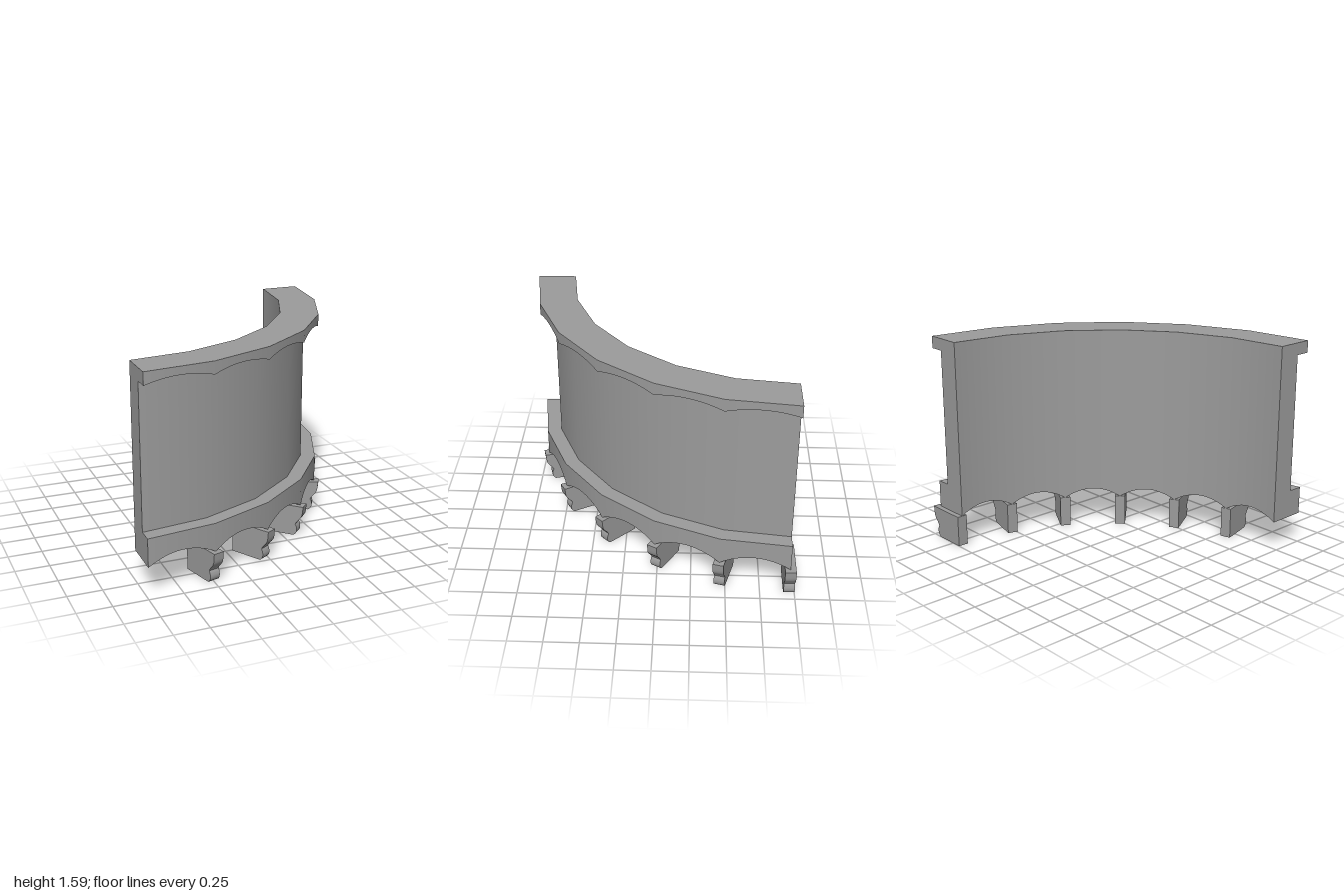
import * as THREE from 'three';
import { mergeGeometries, toCreasedNormals } from 'three/addons/utils/BufferGeometryUtils.js';

const SEGMENTS = 6;
const STEP = Math.PI / 2 / SEGMENTS;
const DIVISIONS = 12;
const CENTRE = new THREE.Vector3(-0.998, 0, -0.96);
const R_IN = 1.668, R_WALL = 1.847, R_OUT = 1.959;

// Wall cross-section as [radius, height, scallop rise], clockwise from the inner top
const PROFILE = [
  [R_IN, 1.589, 0], [R_OUT, 1.589, 0], [R_OUT, 1.497, 0.034], [R_WALL, 1.497, 0.034],
  [R_WALL, 0.446, 0], [R_OUT, 0.446, 0], [R_OUT, 0.236, 0.073], [R_IN, 0.236, 0.073],
];

const direction = (a) => new THREE.Vector3(Math.sin(a), 0, Math.cos(a));

// Surface swept by one edge of the profile along one straight segment
function strip(segment, p, q) {
  const d0 = direction(segment * STEP), d1 = direction((segment + 1) * STEP);
  const positions = [], normals = [], index = [];
  const side = Math.sign(p[1] - q[1]); // +1 faces outwards, -1 faces inwards
  for (let i = 0; i <= DIVISIONS; i++) {
    const t = i / DIVISIONS;
    const d = d0.clone().lerp(d1, t);
    const n = d.clone().normalize().multiplyScalar(side);
    const arch = 4 * t * (1 - t);
    for (const [r, y, rise] of [p, q]) {
      positions.push(CENTRE.x + r * d.x, y + rise * arch, CENTRE.z + r * d.z);
      normals.push(n.x, 0, n.z);
    }
    if (i < DIVISIONS) {
      const a = i * 2;
      index.push(a, a + 1, a + 2, a + 1, a + 3, a + 2);
    }
  }
  const g = new THREE.BufferGeometry();
  g.setAttribute('position', new THREE.Float32BufferAttribute(positions, 3));
  g.setAttribute('normal', new THREE.Float32BufferAttribute(normals, 3));
  g.setIndex(index);
  // Upright faces keep rounded normals; ledges and scallops use their own
  if (p[0] !== q[0]) g.computeVertexNormals();
  return g;
}

// Flat end of the wall
function endFace(sign, turn) {
  const shape = new THREE.Shape(PROFILE.map(([r, y]) => new THREE.Vector2(sign * r, y)));
  const g = new THREE.ShapeGeometry(shape);
  g.rotateY(turn).translate(CENTRE.x, 0, CENTRE.z);
  return g;
}

// Curved corbel below each joint
function bracketGeometry() {
  const s = new THREE.Shape();
  s.moveTo(R_IN, 0);
  s.lineTo(1.92, 0);
  s.quadraticCurveTo(1.946, 0.015, 1.947, 0.045);
  s.quadraticCurveTo(1.947, 0.07, 1.934, 0.09);
  s.bezierCurveTo(1.945, 0.125, 1.988, 0.135, 1.99, 0.19);
  s.lineTo(1.994, 0.237);
  s.lineTo(R_IN, 0.237);
  s.closePath();
  const g = new THREE.ExtrudeGeometry(s, { depth: 0.08, bevelEnabled: false, curveSegments: 6 });
  g.translate(0, 0, -0.04);
  return toCreasedNormals(g, 0.6);
}

export function createModel() {
  const group = new THREE.Group();
  const material = new THREE.MeshStandardMaterial({ color: 0x9c9c9c });

  // Curved wall with scalloped bands
  const strips = [];
  for (let s = 0; s < SEGMENTS; s++) {
    PROFILE.forEach((p, k) => strips.push(strip(s, p, PROFILE[(k + 1) % PROFILE.length])));
  }
  const wall = new THREE.Mesh(mergeGeometries(strips), material);
  wall.name = 'curvedWall';
  group.add(wall);

  const ends = new THREE.Mesh(
    mergeGeometries([endFace(1, -Math.PI / 2), endFace(-1, Math.PI)]), material);
  ends.name = 'wallEnds';
  group.add(ends);

  // Brackets at every joint except the first end
  const bracket = bracketGeometry();
  for (let i = 1; i <= SEGMENTS; i++) {
    const mesh = new THREE.Mesh(bracket, material);
    mesh.name = `bracket${i}`;
    mesh.position.copy(CENTRE);
    mesh.rotation.y = i * STEP - Math.PI / 2;
    group.add(mesh);
  }
  return group;
}
